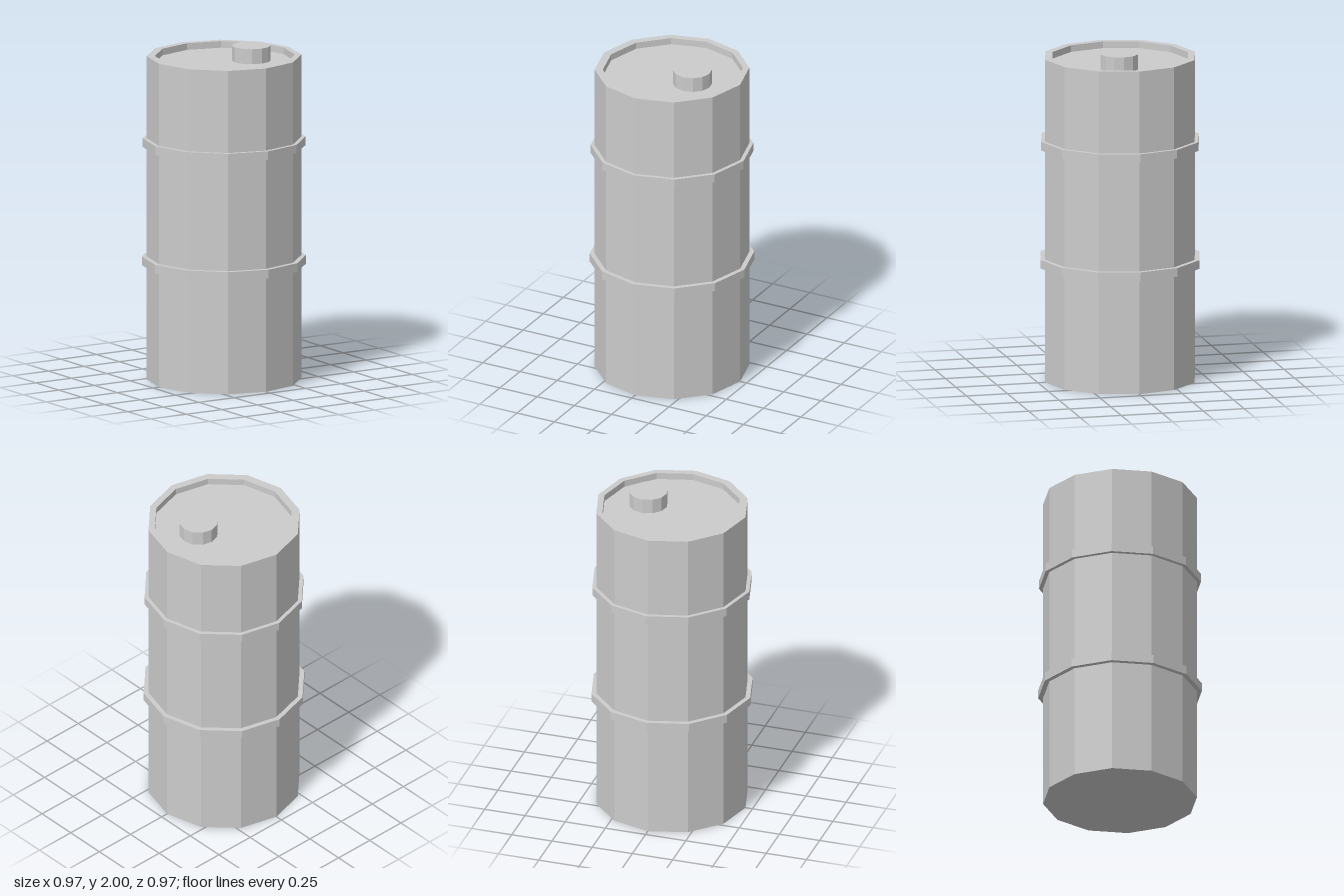
import * as THREE from 'three';

const SIDES = 12;
const BODY_R = 0.457, RIM_R = 0.414, TOP_Y = 1.95, LID_Y = 1.91;

export function createModel() {
  const group = new THREE.Group();
  const material = new THREE.MeshStandardMaterial({ color: 0xcccccc, flatShading: true });

  // Twelve-sided part turned from a [radius, height] profile
  const turned = (name, profile) => {
    const points = profile.map(([r, y]) => new THREE.Vector2(r, y));
    const mesh = new THREE.Mesh(new THREE.LatheGeometry(points, SIDES), material);
    mesh.name = name;
    group.add(mesh);
    return mesh;
  };

  // Barrel wall with closed base, raised rim and sunken lid
  const body = turned('barrelBody', [
    [0, 0], [BODY_R, 0], [BODY_R, TOP_Y], [RIM_R, TOP_Y], [RIM_R, LID_Y], [0, LID_Y],
  ]);
  // The lid recess sits slightly off centre
  const pos = body.geometry.attributes.position;
  for (let i = 0; i < pos.count; i++) {
    const r = Math.hypot(pos.getX(i), pos.getZ(i));
    if (pos.getY(i) > 1 && r < RIM_R + 0.01) pos.setX(i, pos.getX(i) + 0.006);
  }

  // Reinforcing hoops
  const hoop = (name, radius, bottom, top) => turned(name, [
    [BODY_R - 0.01, bottom], [radius, bottom], [radius, top], [BODY_R - 0.01, top],
  ]);
  hoop('lowerHoop', 0.486, 0.69, 0.742);
  hoop('upperHoop', 0.481, 1.403, 1.455);

  // Filler cap on the lid
  const cap = turned('fillerCap', [[0, LID_Y - 0.01], [0.115, LID_Y - 0.01], [0.115, 2], [0, 2]]);
  cap.position.set(0.162, 0, 0.046);

  return group;
}
